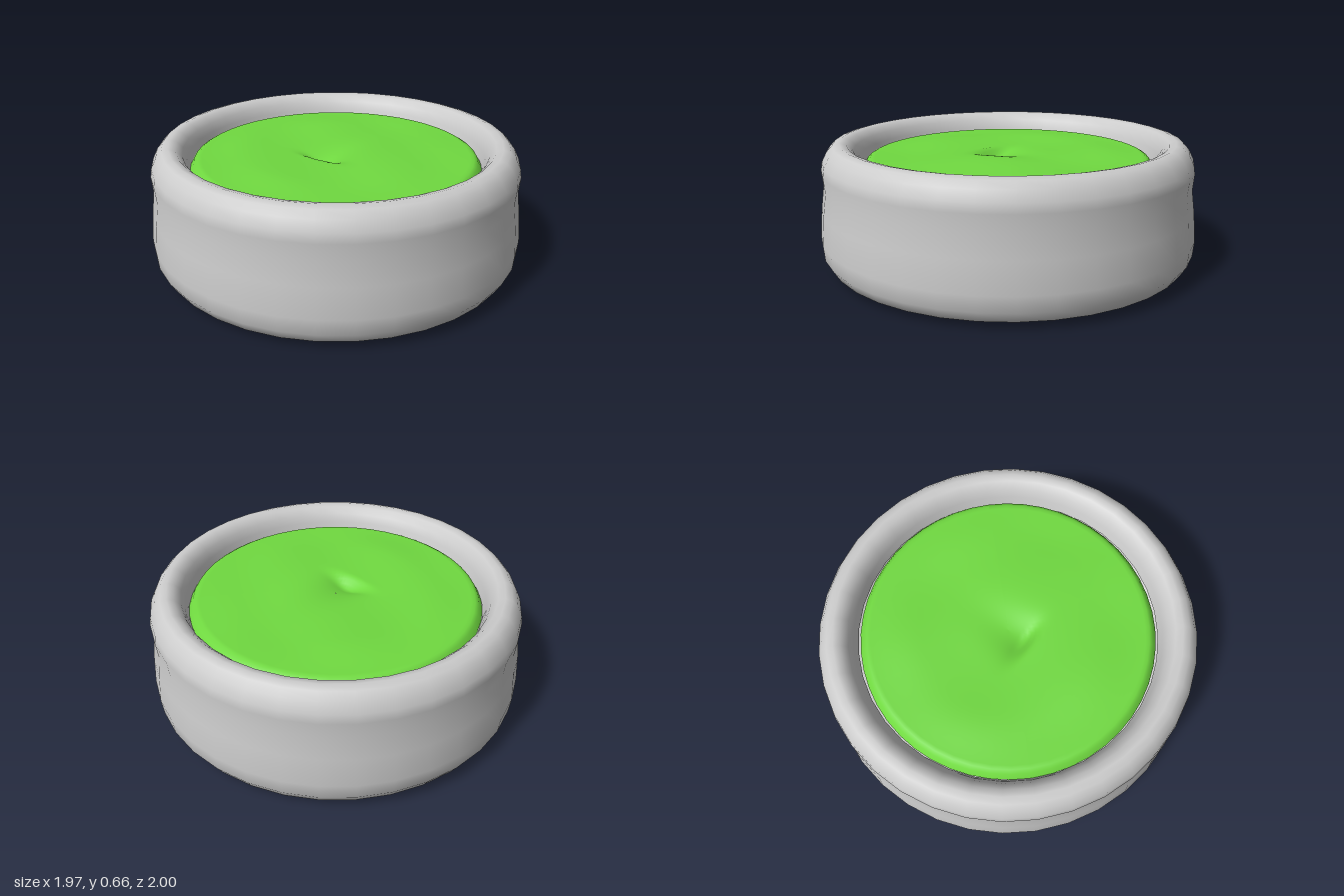
import * as THREE from 'three';

export function createModel() {
  const group = new THREE.Group();
  group.name = 'filledBowl';

  // Bowl: flat base, flared foot, slight waist, rolled rim and inner wall
  const profile = [
    [0, 0.008], [0.45, 0.014], [0.87, 0.018], [0.945, 0.045], [0.978, 0.1], [0.985, 0.18],
    [0.972, 0.33], [0.955, 0.45], [0.962, 0.53], [0.955, 0.575], [0.93, 0.625],
    [0.9, 0.657], [0.865, 0.667], [0.83, 0.658], [0.798, 0.625], [0.78, 0.58],
    [0.765, 0.53],
  ].map(([r, y]) => new THREE.Vector2(r, y));
  const bowl = new THREE.Mesh(
    new THREE.LatheGeometry(profile, 36),
    new THREE.MeshStandardMaterial({ color: 0xcccccc, side: THREE.DoubleSide })
  );
  bowl.name = 'bowl';
  bowl.scale.z = 1.015;
  group.add(bowl);

  // Filling: an uneven disc with soft folds and a notch that is steep on its left
  const fillGeometry = new THREE.RingGeometry(0.001, 0.765, 48, 38);
  fillGeometry.rotateX(-Math.PI / 2);
  const pos = fillGeometry.attributes.position;
  const { smoothstep } = THREE.MathUtils;
  for (let i = 0; i < pos.count; i++) {
    const x = pos.getX(i), z = pos.getZ(i), r = Math.hypot(x, z);
    const fade = 1 - smoothstep(r, 0.45, 0.74);
    const folds = 0.01 * Math.sin(7 * x + 2 * z) * Math.cos(5 * z - 3 * x);
    const across = (x - z) / Math.SQRT2 + 0.14, along = (x + z) / Math.SQRT2;
    const notch = 0.08 * smoothstep(across, -0.02, 0.06)
      * Math.exp(-Math.max(across, 0) / 0.13 - (along / 0.11) ** 2);
    const edge = 0.045 * smoothstep(r, 0.735, 0.765);
    pos.setY(i, 0.578 + fade * (0.006 + folds - notch) - edge);
  }
  fillGeometry.computeVertexNormals();
  const filling = new THREE.Mesh(
    fillGeometry,
    new THREE.MeshStandardMaterial({ color: 0x70d940, side: THREE.DoubleSide })
  );
  filling.name = 'filling';
  group.add(filling);

  return group;
}
